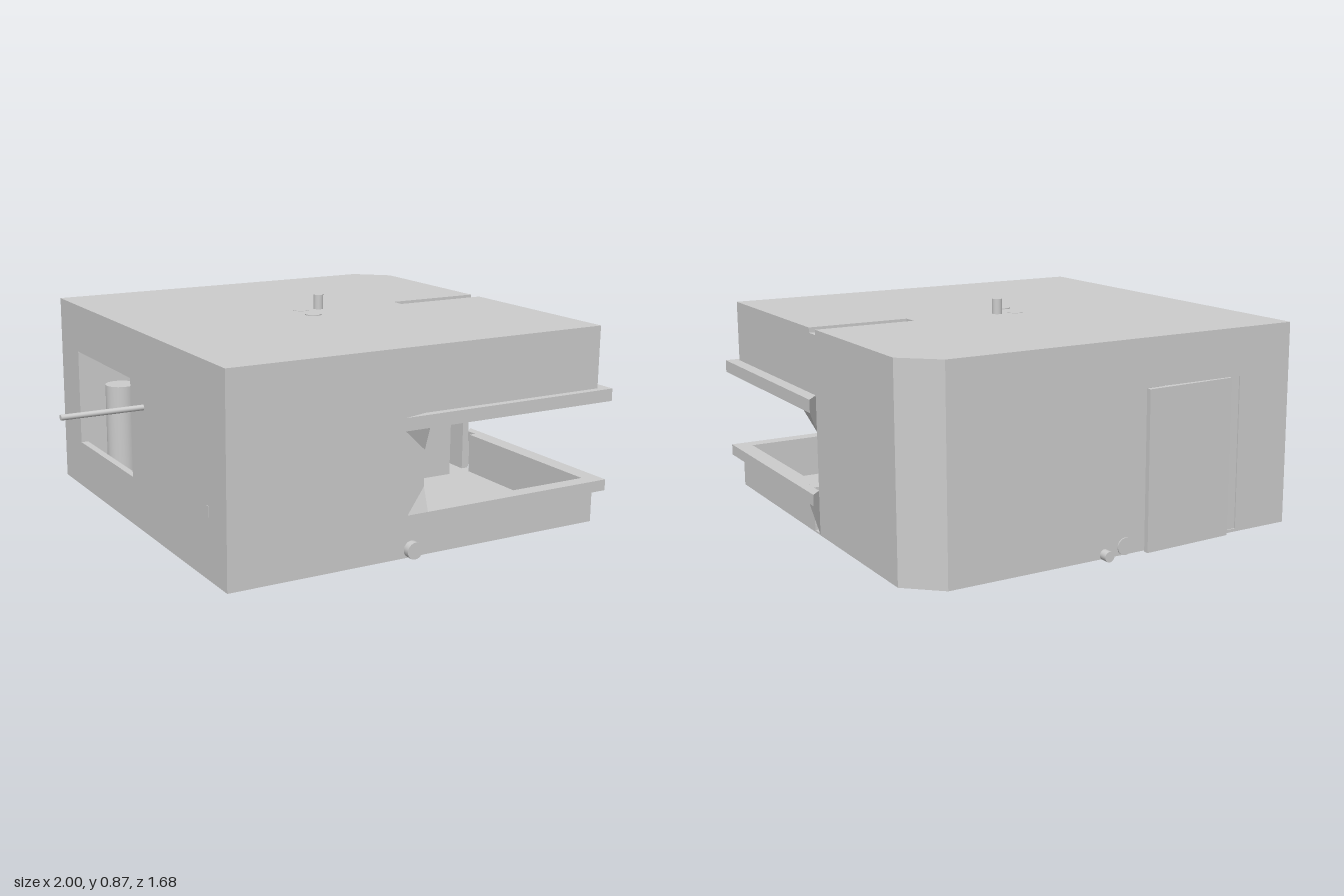
import * as THREE from 'three';
import { ConvexGeometry } from 'three/addons/geometries/ConvexGeometry.js';
import { RoundedBoxGeometry } from 'three/addons/geometries/RoundedBoxGeometry.js';

const grey = new THREE.MeshStandardMaterial({ color: 0xcccccc });
const flat = new THREE.MeshStandardMaterial({ color: 0xcccccc, flatShading: true });

const BASE = 0.013, FLOOR = 0.02, CEIL = 0.79, TOP = 0.81;
const T = 0.03; // wall thickness
const L = -0.67, R = 0.95, Z = 0.81;

const rect = (x0, y0, x1, y1) => [[x0, y0], [x1, y0], [x1, y1], [x0, y1]];

export function createModel() {
  const model = new THREE.Group();

  const add = (name, geometry, material = grey) => {
    const mesh = new THREE.Mesh(geometry, material);
    mesh.name = name;
    model.add(mesh);
    return mesh;
  };

  const box = (name, x0, x1, y0, y1, z0, z1) => {
    const mesh = add(name, new THREE.BoxGeometry(x1 - x0, y1 - y0, z1 - z0));
    mesh.position.set((x0 + x1) / 2, (y0 + y1) / 2, (z0 + z1) / 2);
    return mesh;
  };

  const extrude = (points, depth, holes = []) => {
    const v = (list) => list.map(([a, b]) => new THREE.Vector2(a, b));
    const shape = new THREE.Shape(v(points));
    holes.forEach((h) => shape.holes.push(new THREE.Path(v(h))));
    return new THREE.ExtrudeGeometry(shape, { depth, bevelEnabled: false });
  };

  // Points are (x, y); the panel runs from z0 forwards
  const frontPanel = (name, points, z0, depth, holes) =>
    add(name, extrude(points, depth, holes).translate(0, 0, z0));

  // Points are (z, y); the panel runs from x1 towards -x
  const sidePanel = (name, points, x1, depth, holes) =>
    add(name, extrude(points, depth, holes).rotateY(-Math.PI / 2).translate(x1, 0, 0));

  // Points are (x, z); the slab runs from y0 to y1
  const slab = (name, points, y0, y1, holes) =>
    add(name, extrude(points, y1 - y0, holes).rotateX(Math.PI / 2).translate(0, y1, 0));

  const pipe = (name, from, to, radius) => {
    const a = new THREE.Vector3(...from), b = new THREE.Vector3(...to);
    const mesh = add(name, new THREE.CylinderGeometry(radius, radius, a.distanceTo(b), 24));
    mesh.position.copy(a).lerp(b, 0.5);
    mesh.quaternion.setFromUnitVectors(new THREE.Vector3(0, 1, 0), b.sub(a).normalize());
    return mesh;
  };

  // Floor, and roof with a slot cut in from its left edge
  slab('floor', [[L, -Z], [0.82, -Z], [R, -0.69], [R, Z], [L, Z]], BASE, FLOOR);
  slab('roof', [[L, -Z], [0.82, -Z], [R, -0.69], [R, -0.035], [0.545, -0.035],
    [0.545, 0.025], [R, 0.025], [R, Z], [L, Z]], CEIL, TOP);

  // Front wall, open at the corner window
  frontPanel('frontWall', [[L, FLOOR], [R, FLOOR], [R, 0.19], [0.14, 0.19],
    [0.14, 0.51], [R, 0.51], [R, CEIL], [L, CEIL]], Z - T, T);

  // Left wall, with the other half of the corner window and a slot to the floor
  sidePanel('leftWall', [[-0.69, FLOOR], [-0.02, FLOOR], [-0.02, 0.51],
    [Z - T, 0.51], [Z - T, CEIL], [-0.69, CEIL]], R, T);
  sidePanel('leftSillWall', rect(0.03, FLOOR, Z - T, 0.19), R, T);

  // Right wall with a window, back wall with a doorway, cut-off corner
  sidePanel('rightWall', rect(-Z + T, FLOOR, Z - T, CEIL), L + T, T,
    [rect(-0.61, 0.21, -0.03, 0.61)]);
  frontPanel('backWall', rect(L, FLOOR, 0.82, CEIL), -Z, T,
    [rect(-0.43, 0.025, 0, 0.625)]);
  slab('cornerWall', [[0.82, -Z], [R, -0.69], [R - T, -0.68], [0.81, -Z + T]], FLOOR, CEIL);

  // Short partition beneath the roof slot
  box('partition', 0.545, 0.82, FLOOR, CEIL, -0.035, 0.025);

  // Door, slightly ajar, and its narrow jamb panel
  const door = box('door', -0.38, 0.005, 0.01, 0.625, -0.828, -0.808);
  door.rotation.y = 0.035;
  box('doorJamb', -0.43, -0.38, 0.02, 0.625, -0.805, -0.785);

  // Ledges wrapping round the corner window, with slanted ends
  const ledge = (name, end, out, back, y0, y1) => slab(name, [[R, -0.02], [out, back],
    [out, 0.84], [end, 0.84], [0.14, Z], [R, Z]], y0, y1);
  ledge('upperLedge', 0.035, 1, -0.08, 0.51, 0.56);
  ledge('lowerLedge', 0.05, 0.99, -0.06, 0.145, 0.19);

  // Tapered brackets at the ledge ends
  const bracket = (name, points) => add(name,
    new ConvexGeometry(points.map((p) => new THREE.Vector3(...p))), flat);
  for (const [name, x, y, tip] of [['upper', 0.035, 0.51, 0.42], ['lower', 0.05, 0.19, 0.28]]) {
    bracket(name + 'FrontBracket', [[x, y, 0.84], [0.14, y, 0.84], [0.14, y, Z], [0.14, tip, Z]]);
  }
  for (const [name, x, y, z, tip] of [['upper', 1, 0.51, -0.08, 0.42], ['lower', 0.99, 0.145, -0.06, 0.015]]) {
    bracket(name + 'SideBracket', [[x, y, z], [x, y, -0.02], [R, y, -0.02], [R, tip, -0.02]]);
  }

  // Pipes running through the room and out of its walls
  pipe('floorPipe', [0.09, 0.045, -0.815], [0.09, 0.045, 0.838], 0.033);
  pipe('column', [0.09, FLOOR, 0.07], [0.09, 0.814, 0.07], 0.033);
  pipe('secondColumn', [0.1, FLOOR, -0.05], [0.1, 0.8115, -0.05], 0.033);
  pipe('drainPipe', [0.18, 0.029, -0.845], [0.18, 0.029, -0.045], 0.02);
  pipe('ventPipe', [0.18, 0.008, -0.045], [0.18, 0.87, -0.045], 0.02);
  pipe('outletPipe', [-1, 0.52, 0.095], [-0.51, 0.52, 0.095], 0.011);
  pipe('outletRiser', [-0.51, 0, 0.1], [-0.51, 0.52, 0.1], 0.011);

  // Tank inside the right-hand window
  pipe('tank', [-0.55, FLOOR, -0.44], [-0.55, 0.49, -0.44], 0.063);

  // Desk
  box('deskTop', -0.63, -0.3, 0.235, 0.248, 0.15, 0.78);
  box('deskBody', -0.62, -0.32, FLOOR, 0.235, 0.2, 0.74);

  // Old-style computer: case, monitor with bulging screen, keyboard, puck
  box('computerCase', -0.63, -0.47, 0.248, 0.295, 0.55, 0.78);
  box('monitorStand', -0.59, -0.49, 0.295, 0.31, 0.58, 0.72);
  const hull = [];
  for (const [x, s] of [[-0.62, 0.06], [-0.54, 0.085], [-0.45, 0.085]])
    for (const a of [-1, 1]) for (const b of [-1, 1]) hull.push([x, 0.388 + a * s, 0.645 + b * s]);
  bracket('monitor', hull);
  const screen = add('screen', new THREE.SphereGeometry(1, 24, 16));
  screen.scale.set(0.015, 0.06, 0.045);
  screen.position.set(-0.45, 0.388, 0.63);
  sidePanel('keyboard', [[0.41, 0.25], [0.7, 0.25], [0.7, 0.285], [0.55, 0.275]], -0.34, 0.1);
  const puck = add('deskPuck', new RoundedBoxGeometry(0.1, 0.05, 0.14, 4, 0.02));
  puck.position.set(-0.4, 0.273, 0.3);
  box('wallPlug', -0.672, -0.64, 0.25, 0.29, 0.655, 0.67);

  return model;
}
